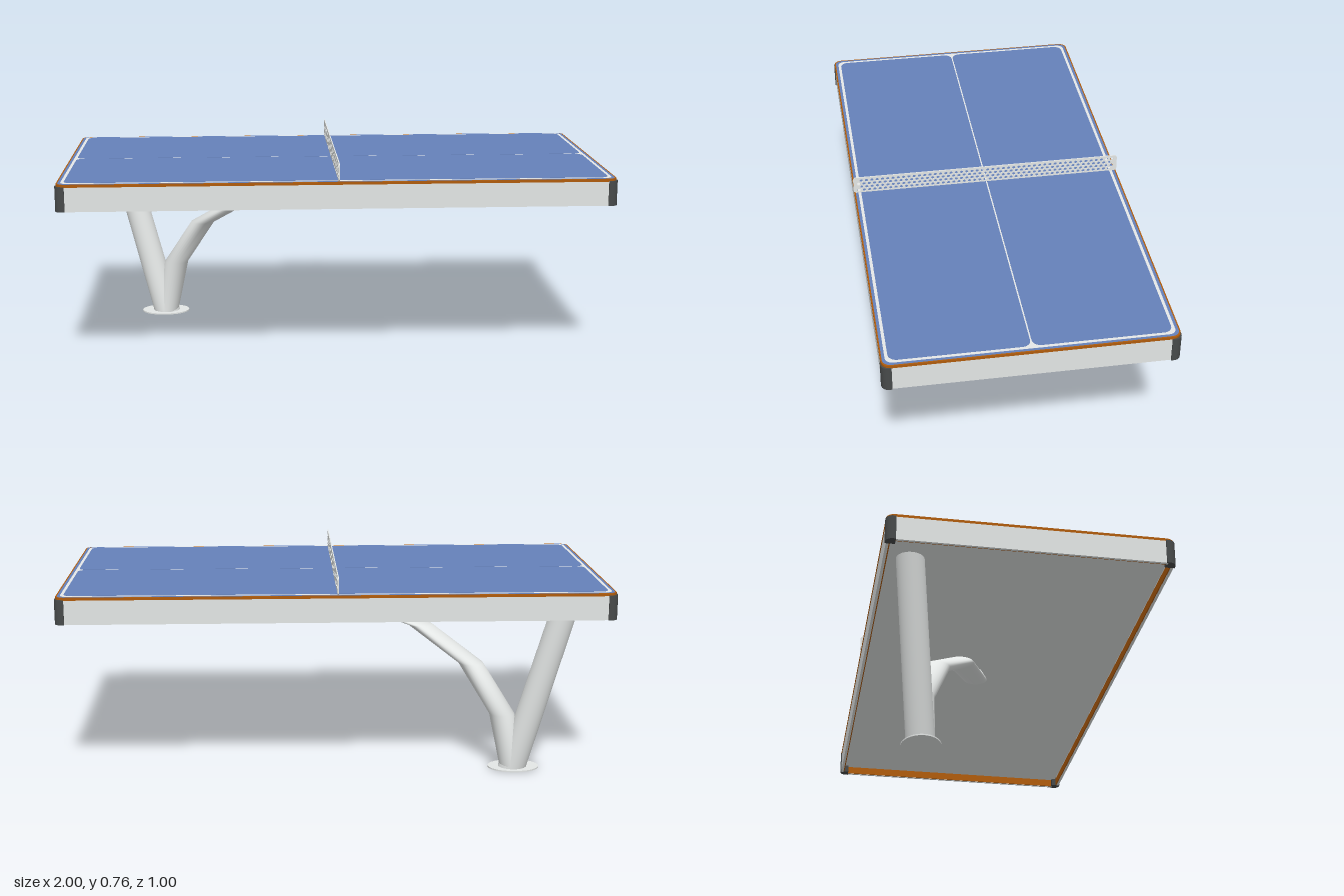
import * as THREE from 'three';

const mat = (name, color, side = THREE.FrontSide) => {
  const m = new THREE.MeshStandardMaterial({ color, side });
  m.name = name;
  return m;
};

// Rounded rectangle centred on the origin
function roundedRect(w, h, r) {
  const s = new THREE.Shape(), x = w / 2, y = h / 2;
  s.moveTo(-x + r, -y);
  s.lineTo(x - r, -y);
  s.absarc(x - r, -y + r, r, -Math.PI / 2, 0);
  s.lineTo(x, y - r);
  s.absarc(x - r, y - r, r, 0, Math.PI / 2);
  s.lineTo(-x + r, y);
  s.absarc(-x + r, y - r, r, Math.PI / 2, Math.PI);
  s.lineTo(-x, -y + r);
  s.absarc(-x + r, -y + r, r, Math.PI, Math.PI * 1.5);
  return s;
}

// Extrude a plan shape upwards from y0 to y1
function slab(shape, y0, y1) {
  const g = new THREE.ExtrudeGeometry(shape, { depth: y1 - y0, bevelEnabled: false, curveSegments: 6 });
  return g.rotateX(-Math.PI / 2).translate(0, y0, 0);
}

// Straight-sided tube through horizontal oval sections [x, y, z, rx, rz]
function ovalTube(sections, n = 28) {
  const pos = [], idx = [];
  for (const [x, y, z, rx, rz] of sections)
    for (let i = 0; i <= n; i++) {
      const a = (i / n) * Math.PI * 2;
      pos.push(x + Math.cos(a) * rx, y, z + Math.sin(a) * rz);
    }
  for (let j = 0; j < sections.length - 1; j++)
    for (let i = 0; i < n; i++) {
      const a = j * (n + 1) + i, b = a + n + 1;
      idx.push(a, b, a + 1, b, b + 1, a + 1);
    }
  const g = new THREE.BufferGeometry();
  g.setAttribute('position', new THREE.Float32BufferAttribute(pos, 3));
  g.setIndex(idx);
  g.computeVertexNormals();
  return g;
}

export function createModel() {
  const group = new THREE.Group();
  group.name = 'tableTennisTable';
  const steel = mat('light grey steel', 0xe3e6e5, THREE.DoubleSide);
  const blue = mat('blue playing surface', 0x6581ba);
  const white = mat('white lines', 0xfafcfc);
  const orange = mat('orange edge', 0xb05c0c);
  const black = mat('black corner guard', 0x474a4a);

  const add = (name, geometry, material) => {
    const m = new THREE.Mesh(geometry, material);
    m.name = name;
    group.add(m);
    return m;
  };
  const box = (name, w, h, d, x, y, z, material) =>
    add(name, new THREE.BoxGeometry(w, h, d).translate(x, y, z), material);

  // Table top with its coloured edge and surface
  add('topEdge', slab(roundedRect(1.992, 0.996, 0.03), 0.688, 0.698), orange);
  add('topSurface', slab(roundedRect(1.982, 0.986, 0.028), 0.698, 0.6986), blue);
  add('courtLines', slab(roundedRect(1.962, 0.966, 0.025), 0.6986, 0.6992), white);
  for (const s of [1, -1]) {
    const half = slab(roundedRect(1.94, 0.47, 0.03), 0.6992, 0.6998);
    add('courtHalf', half.translate(0, 0, s * 0.2375), blue);
  }

  // Recessed underside
  box('underside', 1.96, 0.058, 0.96, 0, 0.659, 0, steel);

  // Skirt panels with a coloured inner lining
  for (const s of [1, -1]) {
    box('longSkirt', 1.94, 0.088, 0.01, 0, 0.644, s * 0.491, steel);
    box('endSkirt', 0.01, 0.088, 0.94, s * 0.991, 0.644, 0, steel);
    box('longLining', 1.97, 0.03, 0.004, 0, 0.616, s * 0.484, orange);
    box('endLining', 0.004, 0.03, 0.97, s * 0.984, 0.616, 0, orange);
  }

  // Rounded corner guards
  const guard = new THREE.Shape();
  guard.moveTo(0, 0);
  guard.lineTo(0.035, 0);
  guard.lineTo(0.035, 0.01);
  guard.absarc(0.01, 0.01, 0.025, 0, Math.PI / 2);
  guard.lineTo(0, 0.035);
  [[1, -1], [-1, -1], [-1, 1], [1, 1]].forEach(([sx, sz], i) => {
    const m = add('cornerGuard', slab(guard, 0.6, 0.69), black);
    m.rotation.y = (i * Math.PI) / 2;
    m.position.set(sx * 0.965, 0, sz * 0.465);
  });

  // Perforated net plate
  const net = roundedRect(1, 0.066, 0.01);
  const rows = 4, cols = 49, pitch = 0.0198;
  for (let r = 0; r < rows; r++)
    for (let c = 0; c < cols; c++) {
      const shift = r % 2 ? 0.25 : -0.25;
      const hole = new THREE.Path();
      hole.absarc((c - (cols - 1) / 2 + shift) * pitch, (r - 1.5) * 0.0138 - 0.002, 0.0064, 0, Math.PI * 2, true);
      net.holes.push(hole);
    }
  const netGeo = new THREE.ExtrudeGeometry(net, { depth: 0.004, bevelEnabled: false, curveSegments: 4 });
  add('net', netGeo.translate(0, 0, -0.002).rotateY(Math.PI / 2).translate(0, 0.732, 0), steel);

  // Bent leg reaching the middle of the table, with a tapered mount
  add('bentLeg', ovalTube([
    [-0.66, 0, -0.33, 0.045, 0.05],
    [-0.617, 0.21, -0.33, 0.047, 0.05],
    [-0.505, 0.39, -0.265, 0.046, 0.054],
    [-0.325, 0.512, -0.15, 0.046, 0.052],
    [-0.02, 0.602, -0.045, 0.042, 0.046],
    [-0.04, 0.632, -0.05, 0.025, 0.025],
  ]), steel);

  // Straight leg leaning out to the corner
  add('straightLeg', ovalTube([
    [-0.66, 0, -0.33, 0.053, 0.05],
    [-0.829, 0.632, -0.398, 0.049, 0.05],
  ]), steel);

  // Oval foot plate
  const foot = new THREE.CylinderGeometry(1, 1, 0.005, 40);
  add('footPlate', foot.scale(0.095, 1, 0.07).translate(-0.665, 0.0025, -0.33), steel);

  return group;
}
